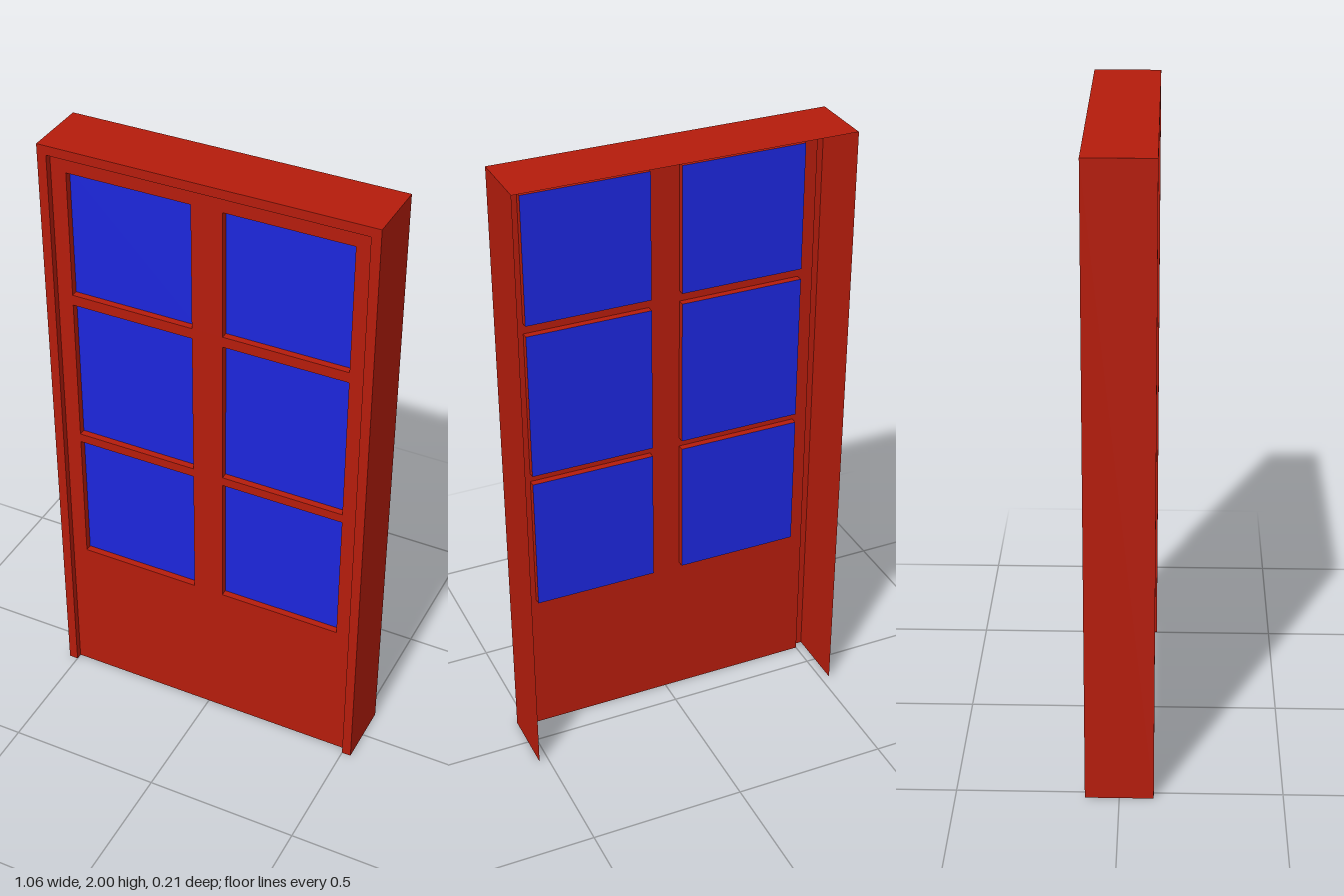
import * as THREE from 'three';

const red = new THREE.MeshStandardMaterial({ color: 0xb51c0c, side: THREE.DoubleSide });
const blue = new THREE.MeshStandardMaterial({ color: 0x1c26dc, side: THREE.DoubleSide });

const HALF_W = 0.53, HEIGHT = 2, OPEN_W = 0.5, OPEN_H = 1.97;
const FRONT = 0.105, BACK = -0.105;
const DOOR_Z = FRONT - 0.021, GLASS_Z = DOOR_Z - 0.022;

const rect = (x0, y0, x1, y1) => [[x0, y0], [x0, y1], [x1, y1], [x1, y0]];
const toVectors = (pts) => pts.map(([x, y]) => new THREE.Vector2(x, y));

// Flat sheet facing +z, with optional holes
function sheet(name, pts, z, material, holes = []) {
  const shape = new THREE.Shape(toVectors(pts));
  holes.forEach((h) => shape.holes.push(new THREE.Path(toVectors(h))));
  const mesh = new THREE.Mesh(new THREE.ShapeGeometry(shape), material);
  mesh.name = name;
  mesh.position.z = z;
  return mesh;
}

// Thin wall that follows an outline from zFront back to zBack
function wall(name, pts, zFront, zBack, closed = false) {
  const verts = [];
  const count = closed ? pts.length : pts.length - 1;
  for (let i = 0; i < count; i++) {
    const [ax, ay] = pts[i], [bx, by] = pts[(i + 1) % pts.length];
    verts.push(ax, ay, zFront, bx, by, zFront, bx, by, zBack);
    verts.push(ax, ay, zFront, bx, by, zBack, ax, ay, zBack);
  }
  const geometry = new THREE.BufferGeometry();
  geometry.setAttribute('position', new THREE.Float32BufferAttribute(verts, 3));
  geometry.computeVertexNormals();
  const mesh = new THREE.Mesh(geometry, red);
  mesh.name = name;
  return mesh;
}

export function createModel() {
  const model = new THREE.Group();
  model.name = 'door';

  // Frame: open-backed casing, front trim and the return to the door
  const outer = rect(-HALF_W, 0, HALF_W, HEIGHT);
  const opening = rect(-OPEN_W, 0, OPEN_W, OPEN_H);
  const frame = new THREE.Group();
  frame.name = 'frame';
  frame.add(
    wall('casing', outer, FRONT, BACK),
    sheet('frontTrim', [...outer, ...opening.slice().reverse()], FRONT, red),
    wall('jamb', opening, FRONT, DOOR_Z),
  );
  model.add(frame);

  // Window panes: three rows, mirrored left and right
  const panes = [];
  for (const [y0, y1] of [[0.5, 0.95], [0.98, 1.465], [1.5, 1.915]]) {
    for (const side of [-1, 1]) {
      panes.push(rect(side * 0.25 - 0.2, y0, side * 0.25 + 0.2, y1));
    }
  }

  // Door leaf, with each pane set back in a shallow pocket
  model.add(sheet('doorLeaf', opening, DOOR_Z, red, panes));
  for (const pane of panes) {
    const window = new THREE.Group();
    window.name = 'window';
    window.add(
      wall('windowReveal', pane, DOOR_Z, GLASS_Z, true),
      sheet('glass', pane, GLASS_Z, blue),
    );
    model.add(window);
  }
  return model;
}
